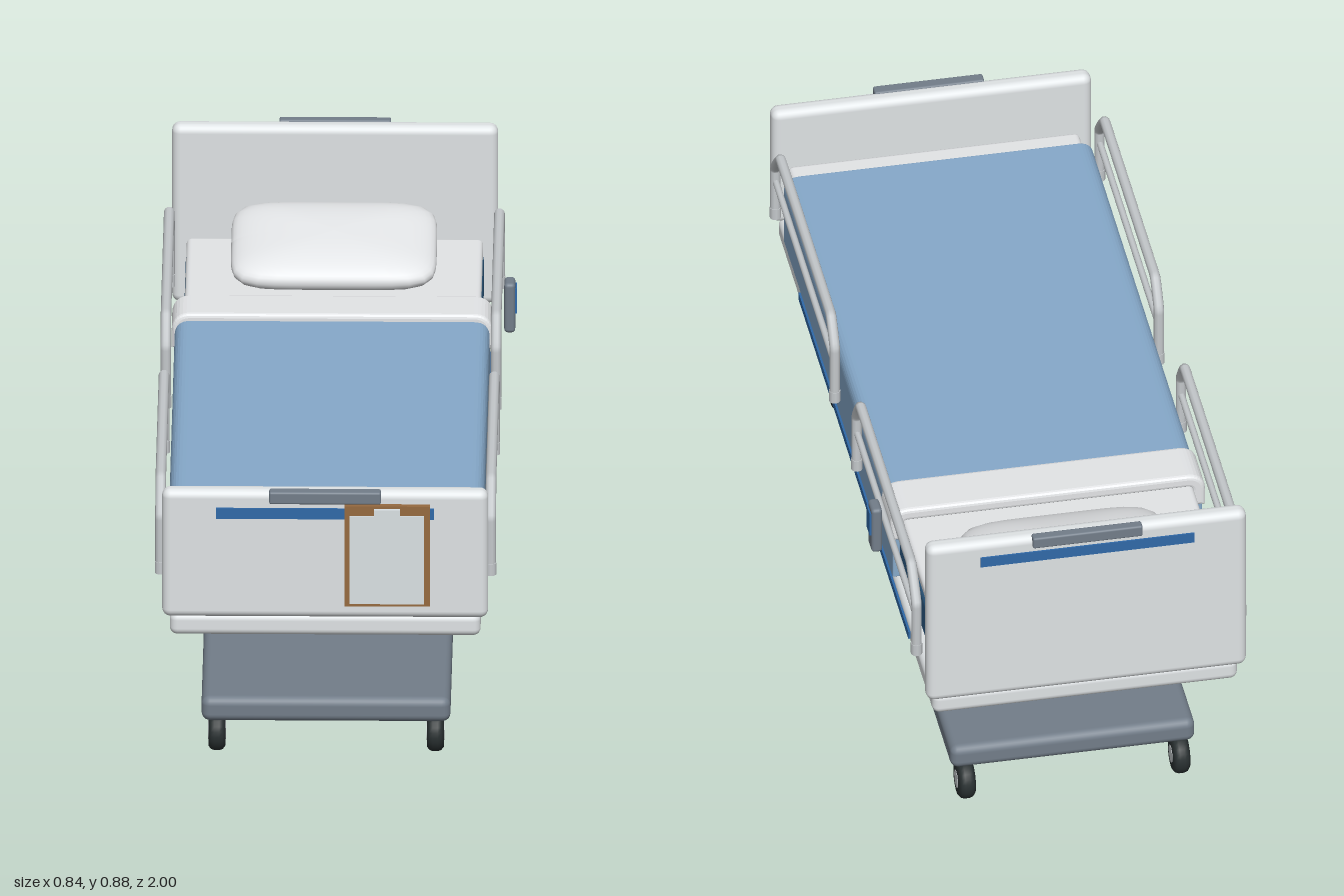
import * as THREE from 'three';
import { RoundedBoxGeometry } from 'three/addons/geometries/RoundedBoxGeometry.js';

const mat = (name, color) => new THREE.MeshStandardMaterial({ name, color });

export function createModel() {
  const white = mat('white panel', 0xdfe3e5);
  const linen = mat('linen', 0xe6e8ea);
  const blanketBlue = mat('blanket blue', 0x86a9ca);
  const mattressBlue = mat('mattress blue', 0x2f5f88);
  const trimBlue = mat('trim blue', 0x3069a8);
  const grey = mat('slate grey', 0x737e8a);
  const metal = mat('rail metal', 0xc6cacd);
  const rubber = mat('rubber', 0x2a3132);
  const wood = mat('clipboard brown', 0x966a40);
  const paperWhite = mat('paper', 0xdae1e4);

  const model = new THREE.Group();
  model.name = 'hospitalBed';
  const bed = new THREE.Group();
  bed.name = 'bed';
  bed.position.x = -0.0155; // the remote sticks out on one side only
  model.add(bed);

  const add = (name, geometry, material, x = 0, y = 0, z = 0, parent = bed) => {
    const mesh = new THREE.Mesh(geometry, material);
    mesh.name = name;
    mesh.position.set(x, y, z);
    parent.add(mesh);
    return mesh;
  };
  // Box given by its limits on each axis, with rounded edges when r > 0
  const box = (name, material, [x0, x1], [y0, y1], [z0, z1], r = 0) => {
    const size = [x1 - x0, y1 - y0, z1 - z0];
    const geometry = r ? new RoundedBoxGeometry(...size, 3, r) : new THREE.BoxGeometry(...size);
    return add(name, geometry, material, (x0 + x1) / 2, (y0 + y1) / 2, (z0 + z1) / 2);
  };
  const half = (w) => [-w, w];

  // Base, lifting column and frame
  box('base', grey, half(0.294), [0.09, 0.152], [-0.82, 0.80], 0.02);
  box('liftColumn', white, half(0.137), [0.15, 0.368], [-0.285, 0.263], 0.024);
  box('frame', white, half(0.367), [0.375, 0.432], [-0.97, 0.95], 0.018);
  box('deck', white, half(0.33), [0.43, 0.46], [-0.95, 0.93]);
  for (const s of [-1, 1]) {
    const x = s * 0.368;
    box('frameStripe', trimBlue, [x - 0.004, x + 0.004], [0.395, 0.415], [-0.69, 0.665]);
  }

  // Head and foot boards with handles and stripes
  box('headboard', white, half(0.385), [0.428, 0.882], [-0.99, -0.942], 0.02);
  box('footboard', white, half(0.385), [0.428, 0.754], [0.92, 0.968], 0.02);
  box('headHandle', grey, half(0.132), [0.855, 0.885], [-1, -0.975], 0.005);
  box('footHandle', grey, half(0.132), [0.726, 0.757], [0.953, 0.982], 0.005);
  box('headStripe', trimBlue, half(0.257), [0.815, 0.842], [-0.994, -0.986]);
  box('footStripe', trimBlue, half(0.257), [0.685, 0.712], [0.964, 0.972]);

  // Clipboard on the foot board
  box('clipboard', wood, [0.046, 0.248], [0.47, 0.726], [0.975, 0.99]);
  box('clipboardHook', grey, [0.12, 0.17], [0.68, 0.7], [0.966, 0.976]);
  box('paper', paperWhite, [0.058, 0.234], [0.477, 0.702], [0.988, 0.993]);
  box('paperClip', paperWhite, [0.116, 0.177], [0.698, 0.72], [0.989, 1]);

  // Mattress and sheet
  box('mattress', mattressBlue, half(0.352), [0.455, 0.58], [-0.935, 0.915], 0.025);
  box('sheet', linen, half(0.35), [0.572, 0.606], [-0.925, 0.91], 0.012);

  // Bedding draped over the mattress: an upside-down U pulled along z
  const drape = (name, material, w, yLow, yTop, z0, z1, t, r, bevel) => {
    const a = w - bevel, top = yTop - bevel, low = yLow + bevel;
    const s = new THREE.Shape();
    s.moveTo(-a, low);
    s.lineTo(-a + t, low);
    s.lineTo(-a + t, top - r);
    s.quadraticCurveTo(-a + t, top - t, -a + r, top - t);
    s.lineTo(a - r, top - t);
    s.quadraticCurveTo(a - t, top - t, a - t, top - r);
    s.lineTo(a - t, low);
    s.lineTo(a, low);
    s.lineTo(a, top - r);
    s.quadraticCurveTo(a, top, a - r, top);
    s.lineTo(-a + r, top);
    s.quadraticCurveTo(-a, top, -a, top - r);
    const geometry = new THREE.ExtrudeGeometry(s, {
      depth: z1 - z0 - 2 * bevel, curveSegments: 8,
      bevelEnabled: true, bevelSize: bevel, bevelThickness: bevel, bevelSegments: 3,
    });
    add(name, geometry, material, 0, 0, z0 + bevel);
  };
  drape('blanket', blanketBlue, 0.372, 0.435, 0.619, -0.498, 0.848, 0.012, 0.035, 0.003);
  drape('blanketFold', linen, 0.379, 0.548, 0.636, -0.508, -0.385, 0.013, 0.035, 0.01);

  // Pillow: a sphere pushed out to a rounded rectangle
  const pillowGeometry = new THREE.SphereGeometry(1, 48, 24);
  const p = pillowGeometry.attributes.position;
  for (let i = 0; i < p.count; i++) {
    const x = p.getX(i), y = p.getY(i), z = p.getZ(i);
    const d = Math.hypot(x, z);
    if (d < 1e-5) { p.setXYZ(i, 0, Math.sign(y) * 0.047, 0); continue; }
    const c = x / d, s = z / d;
    const k = Math.pow(d, 0.8) / Math.pow(Math.abs(c) ** 6 + Math.abs(s) ** 6, 1 / 6);
    p.setXYZ(i, c * k * 0.243, Math.sign(y) * Math.abs(y) ** 0.9 * 0.047, s * k * 0.165);
  }
  pillowGeometry.computeVertexNormals();
  add('pillow', pillowGeometry, linen, 0, 0.655, -0.757).rotation.x = 0.2;

  // Side rails: zOut is the end near a board, zIn the end near the middle
  const rail = (x, zOut, zIn) => {
    const d = Math.sign(zOut - zIn);
    const group = new THREE.Group();
    group.name = 'sideRail';
    group.position.x = x;
    bed.add(group);
    const points = [
      [0.5, zOut], [0.645, zOut], [0.718, zOut - d * 0.068],
      [0.718, zIn + d * 0.05], [0.655, zIn], [0.5, zIn],
    ].map(([y, z]) => new THREE.Vector3(0, y, z));
    const curve = new THREE.CatmullRomCurve3(points, false, 'catmullrom', 0.04);
    add('railLoop', new THREE.TubeGeometry(curve, 120, 0.0125, 10), metal, 0, 0, 0, group);
    const bar = new THREE.CylinderGeometry(0.008, 0.008, Math.abs(zOut - zIn), 10);
    add('railBar', bar, metal, 0, 0.608, (zOut + zIn) / 2, group).rotation.x = Math.PI / 2;
    for (const z of [zOut, zIn]) {
      add('railFoot', new THREE.CylinderGeometry(0.0138, 0.0138, 0.03, 10), metal, 0, 0.514, z, group);
    }
  };
  for (const x of [-0.39, 0.39]) {
    rail(x, 0.858, 0.126);
    rail(x, -0.882, -0.146);
  }

  // Remote control hung on a rail
  box('remote', grey, [0.405, 0.431], [0.546, 0.672], [-0.542, -0.49], 0.009);
  box('remoteKeypad', trimBlue, [0.427, 0.435], [0.594, 0.658], [-0.534, -0.498]);

  // Casters
  const tireProfile = [
    [0.018, -0.02], [0.038, -0.02], [0.046, -0.014], [0.049, -0.006],
    [0.049, 0.006], [0.046, 0.014], [0.038, 0.02], [0.018, 0.02],
  ].map(([r, y]) => new THREE.Vector2(r, y));
  for (const x of [-0.258, 0.258]) {
    for (const z of [-0.8, 0.745]) {
      const caster = new THREE.Group();
      caster.name = 'caster';
      caster.position.set(x, 0.049, z);
      bed.add(caster);
      const tire = add('tire', new THREE.LatheGeometry(tireProfile, 24), rubber, 0, 0, 0, caster);
      const hub = add('hub', new THREE.CylinderGeometry(0.022, 0.022, 0.042, 16), metal, 0, 0, 0, caster);
      tire.rotation.z = hub.rotation.z = Math.PI / 2;
      add('stem', new THREE.CylinderGeometry(0.014, 0.014, 0.05, 12), metal, 0, 0.03, 0, caster);
    }
  }
  return model;
}
